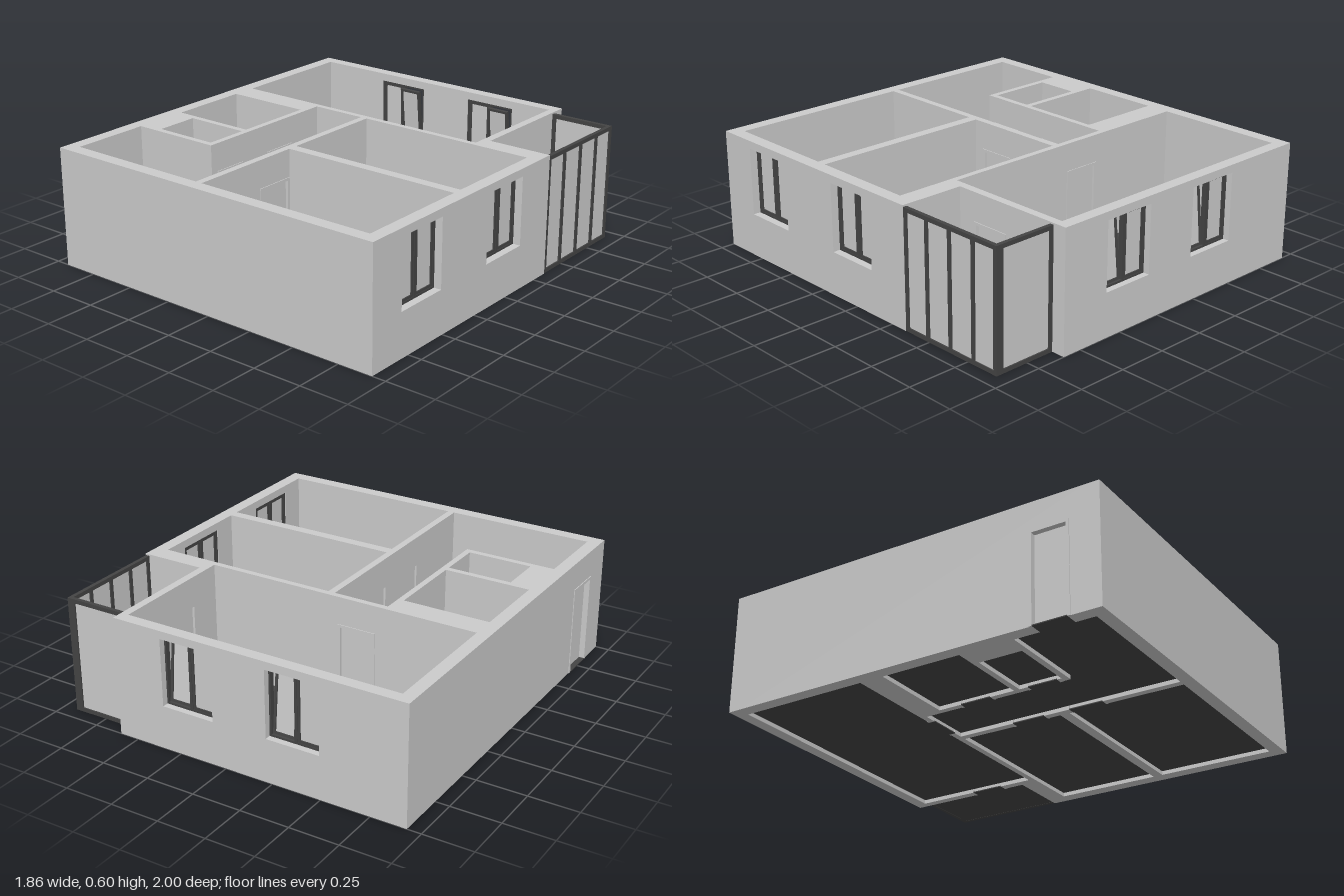
import * as THREE from 'three';

const H = 0.6;
const DOOR_H = 0.46;
const WIN_Y0 = 0.22, WIN_Y1 = 0.56;
const grey = new THREE.MeshStandardMaterial({ color: 0xcccccc });
const dark = new THREE.MeshStandardMaterial({ color: 0x444444 });

// Box given by its limits: u runs along the wall axis, w across the wall.
function slab(parent, name, mat, axis, u0, u1, y0, y1, w0, w1) {
  const du = u1 - u0, dw = w1 - w0, u = (u0 + u1) / 2, w = (w0 + w1) / 2;
  const alongX = axis === 'x';
  const mesh = new THREE.Mesh(new THREE.BoxGeometry(alongX ? du : dw, y1 - y0, alongX ? dw : du), mat);
  mesh.position.set(alongX ? u : w, (y0 + y1) / 2, alongX ? w : u);
  mesh.name = name;
  parent.add(mesh);
  return mesh;
}

// Wall panel with door notches and window holes, given as [start, end] along the wall.
function wall(parent, name, axis, u0, u1, w0, w1, doors = [], windows = []) {
  const shape = new THREE.Shape();
  shape.moveTo(u0, 0);
  for (const [a, b] of doors) {
    shape.lineTo(a, 0);
    shape.lineTo(a, DOOR_H);
    shape.lineTo(b, DOOR_H);
    shape.lineTo(b, 0);
  }
  shape.lineTo(u1, 0);
  shape.lineTo(u1, H);
  shape.lineTo(u0, H);
  shape.closePath();
  for (const [a, b] of windows) {
    const hole = new THREE.Path();
    hole.moveTo(a, WIN_Y0);
    hole.lineTo(a, WIN_Y1);
    hole.lineTo(b, WIN_Y1);
    hole.lineTo(b, WIN_Y0);
    hole.closePath();
    shape.holes.push(hole);
  }
  const geo = new THREE.ExtrudeGeometry(shape, { depth: w1 - w0, bevelEnabled: false });
  if (axis === 'x') geo.translate(0, 0, w0);
  else geo.rotateY(-Math.PI / 2).translate(w1, 0, 0);
  const mesh = new THREE.Mesh(geo, grey);
  mesh.name = name;
  parent.add(mesh);
}

// Rectangular frame of four bars.
function frame(parent, name, mat, axis, u0, u1, y0, y1, w0, w1, t) {
  for (const [a, b] of [[u0, u0 + t], [u1 - t, u1]]) slab(parent, name, mat, axis, a, b, y0, y1, w0, w1);
  for (const [a, b] of [[y0, y0 + t], [y1 - t, y1]]) slab(parent, name, mat, axis, u0 + t, u1 - t, a, b, w0, w1);
}

// Door lining that stands slightly proud on one side, with a closed leaf.
function door(parent, name, axis, [u0, u1], w0, w1, proud) {
  const g = new THREE.Group();
  g.name = name;
  parent.add(g);
  const a = w0 - (proud < 0 ? 0.004 : 0), b = w1 + (proud > 0 ? 0.004 : 0), t = 0.014;
  slab(g, 'doorJamb', grey, axis, u0, u0 + t, 0, DOOR_H, a, b);
  slab(g, 'doorJamb', grey, axis, u1 - t, u1, 0, DOOR_H, a, b);
  slab(g, 'doorHead', grey, axis, u0 + t, u1 - t, DOOR_H - t, DOOR_H, a, b);
  const m = (w0 + w1) / 2;
  slab(g, 'doorLeaf', grey, axis, u0 + t, u1 - t, 0.005, DOOR_H - t, m - 0.008, m + 0.008);
  slab(g, 'threshold', dark, axis, u0 + t, u1 - t, 0, 0.005, a, b);
}

// One glazed sash with its handle; inner is +1 or -1 towards the room.
function sash(parent, axis, u0, u1, y0, y1, w, inner, handleU) {
  frame(parent, 'sashFrame', dark, axis, u0, u1, y0, y1, w - 0.009, w + 0.009, 0.012);
  slab(parent, 'pane', grey, axis, u0 + 0.012, u1 - 0.012, y0 + 0.012, y1 - 0.012, w - 0.003, w + 0.003);
  if (handleU !== undefined) {
    const h = w + inner * 0.014, ym = (y0 + y1) / 2;
    slab(parent, 'handle', dark, axis, handleU - 0.004, handleU + 0.004, ym - 0.03, ym + 0.005, h - 0.005, h + 0.005);
  }
}

// Two-light window with an inner sill; one light may be tilted into the room.
function windowUnit(parent, axis, [u0, u1], w, inner, tilted) {
  const g = new THREE.Group();
  g.name = 'window';
  parent.add(g);
  const um = (u0 + u1) / 2, t = 0.01;
  frame(g, 'windowFrame', dark, axis, u0, u1, WIN_Y0, WIN_Y1, w - 0.012, w + 0.012, t);
  slab(g, 'mullion', dark, axis, um - 0.007, um + 0.007, WIN_Y0 + t, WIN_Y1 - t, w - 0.012, w + 0.012);
  const far = w + inner * 0.077;
  slab(g, 'windowSill', dark, axis, u0 - 0.022, u1 + 0.022, WIN_Y0 - 0.012, WIN_Y0 + 0.001,
    Math.min(w + inner * 0.012, far), Math.max(w + inner * 0.012, far));
  sash(g, axis, u0 + t, um - 0.007, WIN_Y0 + t, WIN_Y1 - t, w, inner);
  if (tilted) {
    const pivot = new THREE.Group();
    pivot.name = 'tiltedSash';
    pivot.position.set(um, WIN_Y0 + t, w + inner * 0.008);
    pivot.rotation.x = 0.1 * inner;
    g.add(pivot);
    sash(pivot, axis, 0.007, u1 - um - t, 0, WIN_Y1 - WIN_Y0 - 2 * t, 0, inner, 0.013);
  } else {
    sash(g, axis, um + 0.007, u1 - t, WIN_Y0 + t, WIN_Y1 - t, w, inner, um + 0.012);
  }
}

export function createModel() {
  const model = new THREE.Group();
  model.name = 'apartment';

  // Openings
  const backWindows = [[-0.495, -0.22], [0.065, 0.34]];
  const sideWindows = [[-0.115, 0.165], [0.515, 0.8]];
  const entry = [0.65, 0.85], balconyDoor = [-0.64, -0.44], livingDoor = [-0.345, -0.145];
  const serviceDoors = [[-0.05, 0.14], [0.315, 0.495]];
  const bedroomDoors = [[0.035, 0.235], [0.345, 0.55]];

  // Outer walls
  const walls = new THREE.Group();
  walls.name = 'walls';
  model.add(walls);
  wall(walls, 'backWall', 'x', -0.93, 0.6, -1, -0.94, [], backWindows);
  wall(walls, 'frontWall', 'x', -0.93, 0.93, 0.935, 1);
  wall(walls, 'rightWall', 'z', -0.94, 0.935, -0.93, -0.865, [entry]);
  wall(walls, 'leftWall', 'z', -0.25, 0.935, 0.865, 0.93, [], sideWindows);
  wall(walls, 'balconyWall', 'z', -0.94, -0.345, 0.56, 0.6, [balconyDoor]);
  wall(walls, 'balconySideWall', 'x', 0.56, 0.93, -0.345, -0.25);

  // Partitions
  wall(walls, 'livingRoomWall', 'x', -0.425, 0.56, -0.28, -0.25, [livingDoor]);
  wall(walls, 'thickPartition', 'x', -0.865, -0.425, -0.28, -0.155);
  wall(walls, 'bedroomPartition', 'x', -0.075, 0.865, 0.29, 0.34);
  wall(walls, 'bathroomPartition', 'x', -0.865, -0.425, 0.255, 0.285);
  wall(walls, 'closetPartition', 'x', -0.865, -0.395, 0.505, 0.535);
  wall(walls, 'shaftBlock', 'x', -0.865, -0.755, 0.285, 0.505);
  wall(walls, 'serviceWall', 'z', -0.25, 0.505, -0.425, -0.395, serviceDoors);
  wall(walls, 'hallWall', 'z', -0.25, 0.935, -0.11, -0.075, bedroomDoors);

  // Room floors: x0, x1, z0, z1
  const rooms = {
    livingFloor: [-0.865, 0.56, -0.94, -0.28],
    bathroomFloor: [-0.865, -0.425, -0.155, 0.255],
    closetFloor: [-0.755, -0.425, 0.285, 0.505],
    corridorFloor: [-0.395, -0.11, -0.25, 0.535],
    entranceFloor: [-0.865, -0.11, 0.535, 0.935],
    smallBedroomFloor: [-0.075, 0.865, -0.25, 0.29],
    largeBedroomFloor: [-0.075, 0.865, 0.34, 0.935],
  };
  for (const [name, [x0, x1, z0, z1]] of Object.entries(rooms))
    slab(model, name, dark, 'x', x0, x1, 0.02, 0.03, z0, z1);

  // Doors
  door(model, 'entranceDoor', 'z', entry, -0.93, -0.865, -1);
  door(model, 'balconyDoor', 'z', balconyDoor, 0.56, 0.6, 1);
  door(model, 'livingRoomDoor', 'x', livingDoor, -0.28, -0.25, -1);
  for (const d of serviceDoors) door(model, 'serviceDoor', 'z', d, -0.425, -0.395, 1);
  for (const d of bedroomDoors) door(model, 'bedroomDoor', 'z', d, -0.11, -0.075, 1);

  // Windows
  for (const w of backWindows) windowUnit(model, 'x', w, -0.956, 1, true);
  for (const w of sideWindows) windowUnit(model, 'z', w, 0.88, -1, false);

  // Glazed balcony
  const balcony = new THREE.Group();
  balcony.name = 'balcony';
  model.add(balcony);
  const z0 = -0.93, z1 = -0.345, x1 = 0.928, top = 0.592, t = 0.02;
  slab(balcony, 'balconyFloor', dark, 'x', 0.6, x1 - t, 0.001, 0.02, z0 + t, z1);
  frame(balcony, 'balconyFrontFrame', dark, 'z', z0, z1, 0, top, x1 - t, x1, t);
  slab(balcony, 'balconyFrontPane', grey, 'z', z0 + t, z1 - t, t, top - t, x1 - 0.013, x1 - 0.007);
  for (let i = 1; i < 4; i++) {
    const z = z0 + (z1 - z0) * i / 4;
    slab(balcony, 'balconyMullion', dark, 'z', z - 0.01, z + 0.01, t, top - t, x1 - t, x1);
  }
  frame(balcony, 'balconyEndFrame', dark, 'x', 0.6, x1 - t, 0, top, z0, z0 + t, t);
  slab(balcony, 'balconyEndPane', grey, 'x', 0.6 + t, x1 - 2 * t, t, top - t, z0 + 0.007, z0 + 0.013);

  return model;
}
